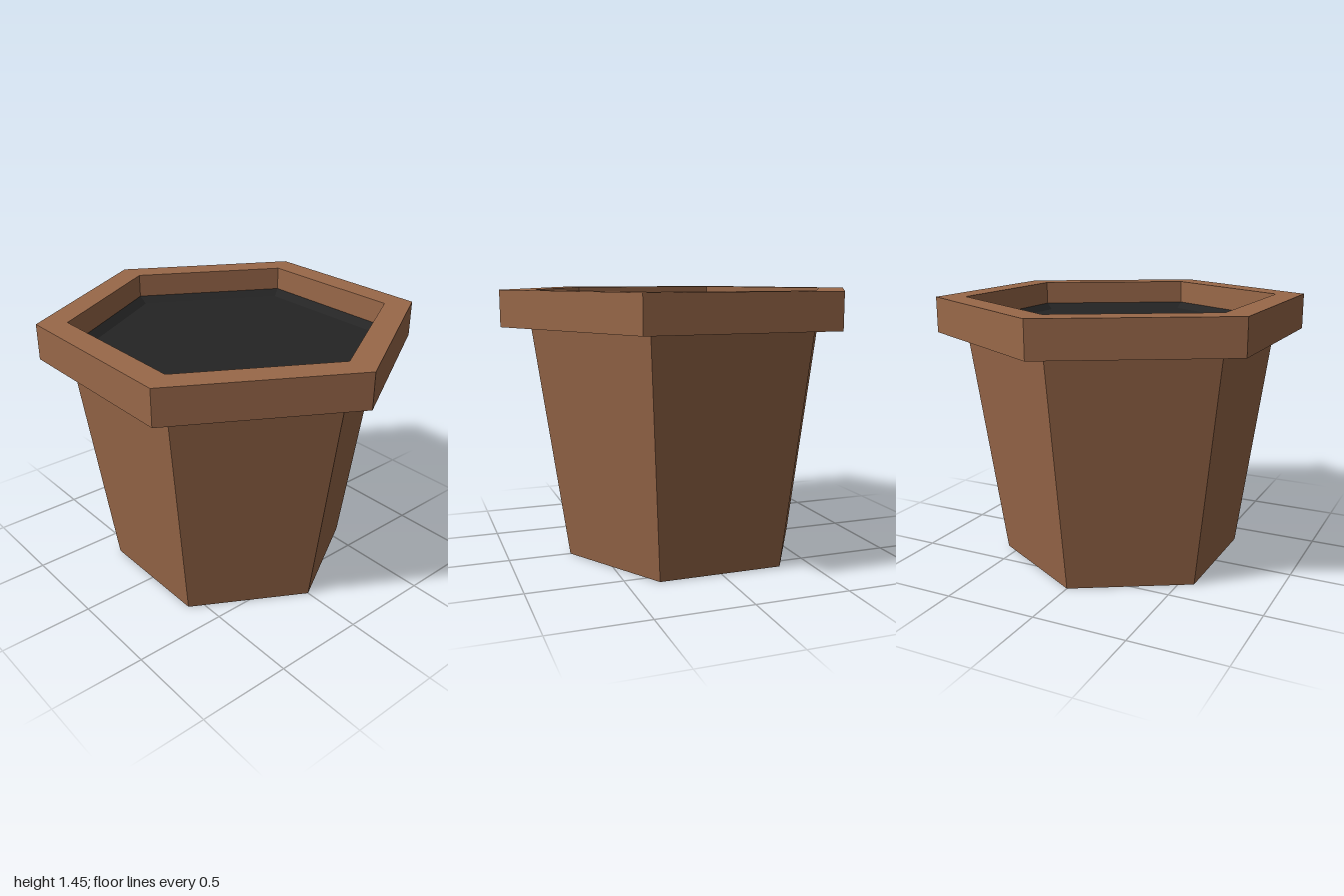
import * as THREE from 'three';

const SIDES = 6;

// Faceted normals
function faceted(geometry) {
  const flat = geometry.index ? geometry.toNonIndexed() : geometry;
  flat.computeVertexNormals();
  return flat;
}

// Six-sided ring swept from a [radius, height] profile
function hexLathe(profile) {
  return faceted(new THREE.LatheGeometry(profile.map(([r, y]) => new THREE.Vector2(r, y)), SIDES));
}

export function createModel() {
  const group = new THREE.Group();
  group.name = 'plantPot';

  const clay = new THREE.MeshStandardMaterial({ color: 0x996849 });
  clay.name = 'clay';
  const earth = new THREE.MeshStandardMaterial({ color: 0x242424 });
  earth.name = 'darkSoil';

  const add = (name, geometry, material) => {
    const mesh = new THREE.Mesh(geometry, material);
    mesh.name = name;
    group.add(mesh);
    return mesh;
  };

  // Tapered body, closed underneath
  const bodyHeight = 1.255;
  const body = new THREE.CylinderGeometry(0.843, 0.665, bodyHeight, SIDES);
  body.translate(0, bodyHeight / 2, 0);
  add('body', faceted(body), clay);

  // Overhanging rim with a vertical inner wall
  add('rim', hexLathe([
    [0.843, 1.255], [1, 1.255], [1, 1.445], [0.843, 1.445], [0.843, 1.255],
  ]), clay);

  // Soil: sloped edge against the wall and a flat surface
  add('soilEdge', hexLathe([[0.843, 1.317], [0.79, 1.285]]), earth);
  const soil = new THREE.CircleGeometry(0.79, SIDES, Math.PI / 2);
  soil.rotateX(-Math.PI / 2);
  soil.translate(0, 1.285, 0);
  add('soilSurface', faceted(soil), earth);

  return group;
}
